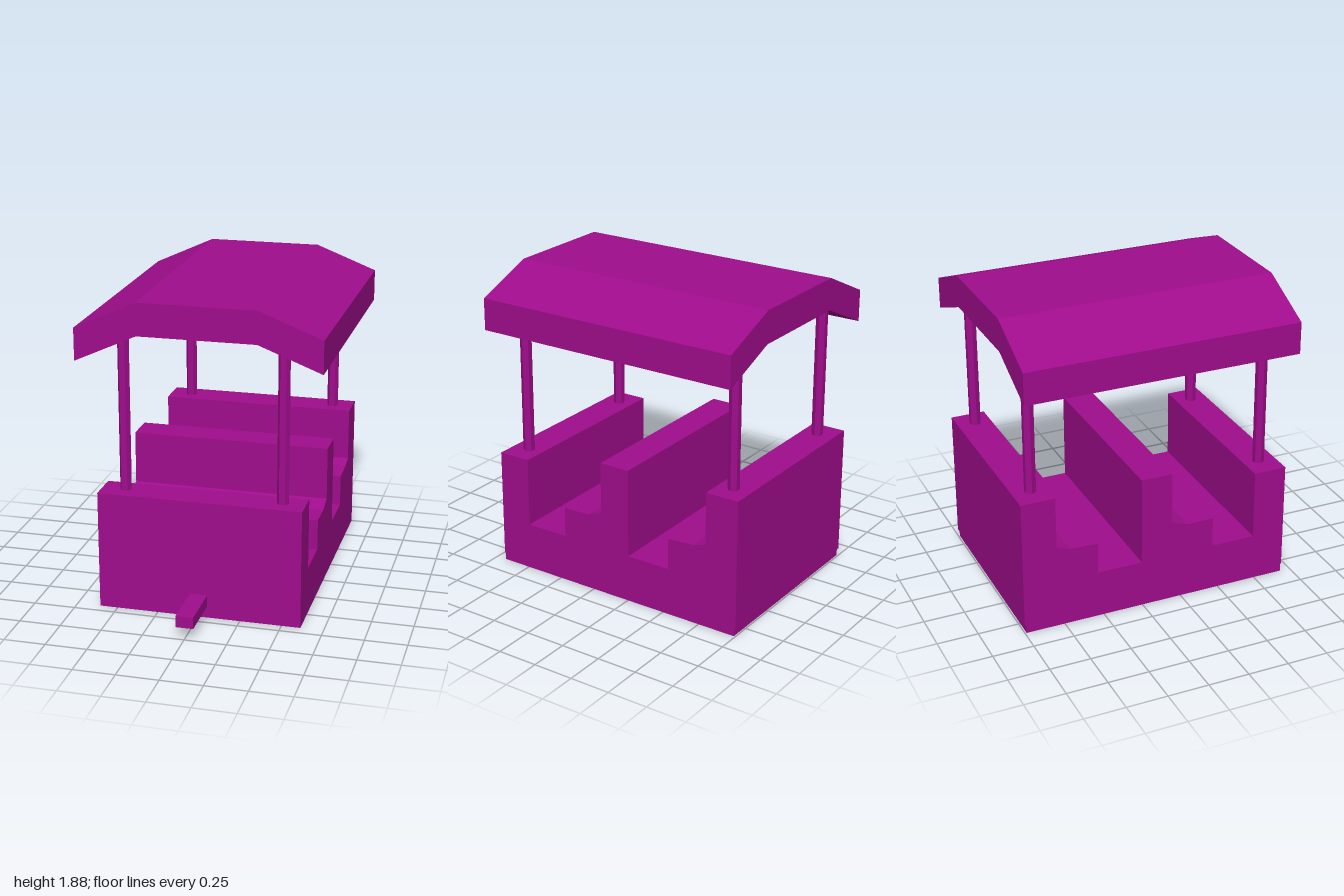
import * as THREE from 'three';

const material = new THREE.MeshStandardMaterial({ color: 0xa00d8c, flatShading: true });

function extrude(points, depth) {
  const shape = new THREE.Shape(points.map(([x, y]) => new THREE.Vector2(x, y)));
  return new THREE.ExtrudeGeometry(shape, { depth, bevelEnabled: false });
}

export function createModel() {
  const group = new THREE.Group();
  const add = (name, geometry) => {
    const mesh = new THREE.Mesh(geometry, material);
    mesh.name = name;
    group.add(mesh);
    return mesh;
  };

  // Wagon body: side profile (z, y) with two stepped benches, swept across the width
  const body = extrude([
    [-0.99, 0], [0.685, 0], [0.685, 0.05], [0.69, 0.05], [0.69, 0.725], [0.485, 0.725],
    [0.485, 0.295], [0.21, 0.295], [0.21, 0.485], [0.04, 0.485], [-0.06, 0.52],
    [-0.06, 0.845], [-0.255, 0.845], [-0.255, 0.295], [-0.535, 0.295], [-0.535, 0.49],
    [-0.71, 0.5], [-0.79, 0.525], [-0.79, 0.85], [-1, 0.85], [-1, 0.05], [-0.99, 0.05],
  ], 1.22);
  body.rotateY(-Math.PI / 2).translate(0.613, 0, 0);
  add('body', body);

  // Canopy: bent slab running front to back
  const roof = extrude([
    [-0.725, 1.52], [-0.355, 1.69], [0.345, 1.69], [0.72, 1.545],
    [0.72, 1.74], [0.345, 1.885], [-0.355, 1.885], [-0.725, 1.715],
  ], 1.685);
  roof.translate(0, 0, -1);
  add('roof', roof);

  // Posts between body and canopy
  const posts = [
    ['frontRightPost', -0.465, 0.58, 0.7],
    ['frontLeftPost', 0.478, 0.58, 0.7],
    ['backRightPost', -0.47, -0.89, 0.83],
    ['backLeftPost', 0.485, -0.89, 0.83],
  ];
  for (const [name, x, z, bottom] of posts) {
    const height = 1.68 - bottom;
    const post = add(name, new THREE.CylinderGeometry(0.035, 0.035, height, 6));
    post.position.set(x, bottom + height / 2, z);
    post.rotation.y = Math.PI / 6;
  }

  // Tow bar at the front
  add('towBar', new THREE.BoxGeometry(0.105, 0.07, 0.33)).position.set(0.002, 0.11, 0.835);

  return group;
}
